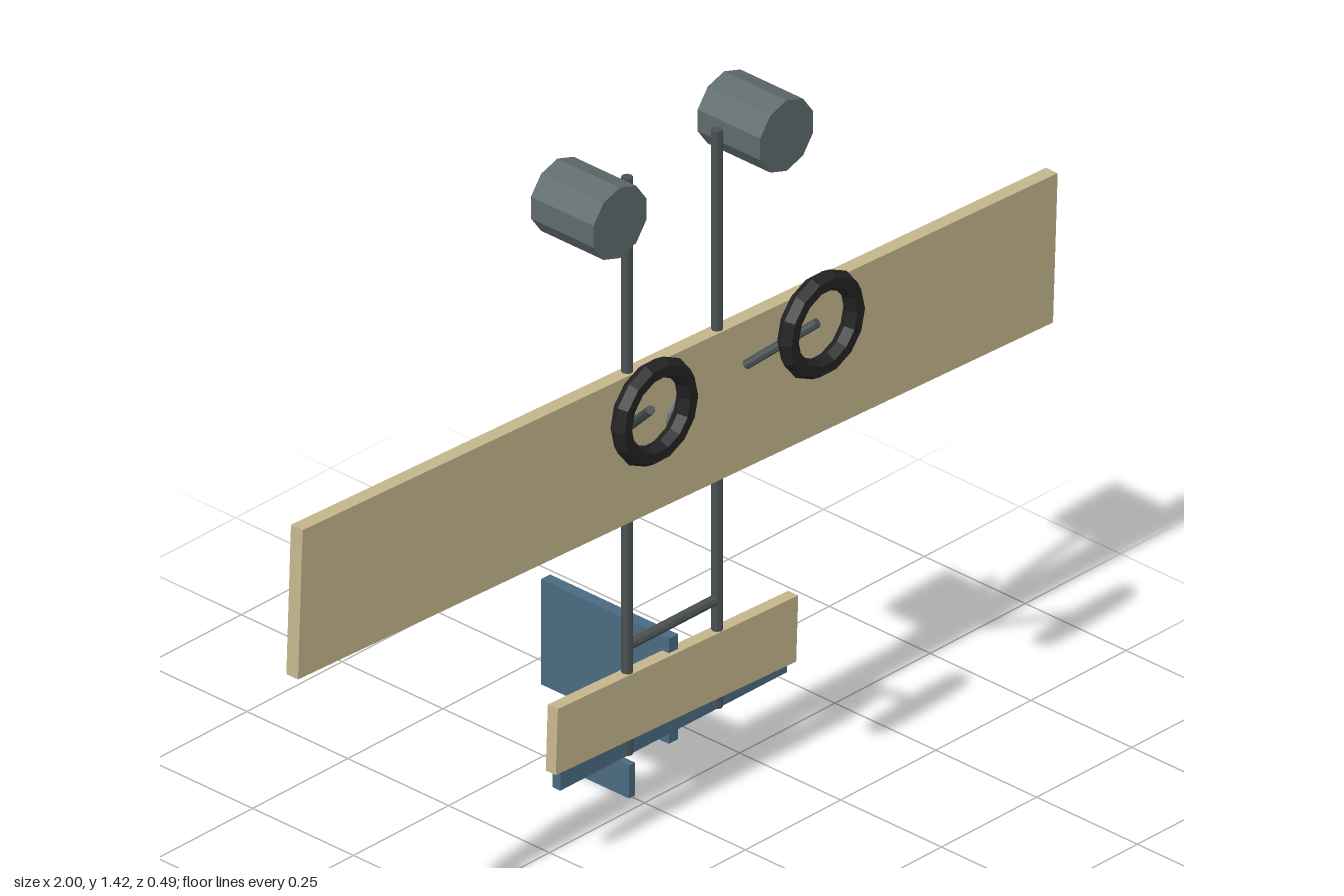
import * as THREE from 'three';

const mat = (color) => new THREE.MeshStandardMaterial({ color, flatShading: true });
const TAN = mat(0xc4b58c), BLUE = mat(0x4a6a80), METAL = mat(0x5f6b6d), ROD = mat(0x4a5052), RUBBER = mat(0x222222);
const PLANE_Z = 0.068; // depth of the wing, booms and engines
const TILT = -0.04;    // slight roll of the wing and tailplane

export function createModel() {
  const model = new THREE.Group();
  model.name = 'aircraft';

  const add = (name, geometry, material, x, y, z) => {
    const mesh = new THREE.Mesh(geometry, material);
    mesh.name = name;
    mesh.position.set(x, y, z);
    model.add(mesh);
    return mesh;
  };
  const box = (name, w, h, d, material, x, y, z) =>
    add(name, new THREE.BoxGeometry(w, h, d), material, x, y, z);

  // Round bar between two points
  const bar = (name, a, b, r, sides = 8) => {
    const from = new THREE.Vector3(...a), to = new THREE.Vector3(...b);
    const dir = to.clone().sub(from), mid = from.clone().add(to).multiplyScalar(0.5);
    const mesh = add(name, new THREE.CylinderGeometry(r, r, dir.length(), sides), ROD, mid.x, mid.y, mid.z);
    mesh.quaternion.setFromUnitVectors(new THREE.Vector3(0, 1, 0), dir.normalize());
  };

  // Cylinder lying along z
  const drum = (name, r, length, sides, x, y) => {
    const geometry = new THREE.CylinderGeometry(r, r, length, sides).rotateX(Math.PI / 2);
    add(name, geometry, METAL, x, y, PLANE_Z);
  };

  // Rolled wing and tailplane
  box('wing', 1.985, 0.305, 0.029, TAN, 0, 0.815, PLANE_Z).rotation.z = TILT;
  box('tailplane', 0.632, 0.135, 0.025, TAN, 0, 0.277, PLANE_Z).rotation.z = TILT;

  // Level control surfaces, fin and skid
  box('elevator', 0.595, 0.072, 0.02, BLUE, 0, 0.214, 0.062);
  box('fin', 0.024, 0.218, 0.317, BLUE, 0, 0.266, -0.087);
  box('tailSkid', 0.016, 0.068, 0.168, BLUE, 0, 0.036, -0.115);

  drum('centreHub', 0.031, 0.042, 12, 0, 0.837);
  bar('boomCrossbar', [-0.118, 0.403, PLANE_Z], [0.118, 0.403, PLANE_Z], 0.01);

  // Mirrored parts
  for (const s of [-1, 1]) {
    const side = s > 0 ? 'left' : 'right';
    box(side + 'Aileron', 0.52, 0.085, 0.02, BLUE, s * 0.718, 0.777, 0.0633);
    bar(side + 'Boom', [s * 0.118, 0.18, PLANE_Z], [s * 0.118, 1.376, PLANE_Z], 0.011);
    drum(side + 'Engine', 0.073, 0.155, 10, s * 0.219, 1.352);
    add(side + 'Wheel', new THREE.TorusGeometry(0.087, 0.02, 6, 14), RUBBER, s * 0.219, 0.994, 0.231);
    bar(side + 'WheelStrut', [s * 0.219, 0.994, 0.222], [s * 0.152, 0.889, 0.107], 0.009);
  }
  return model;
}
